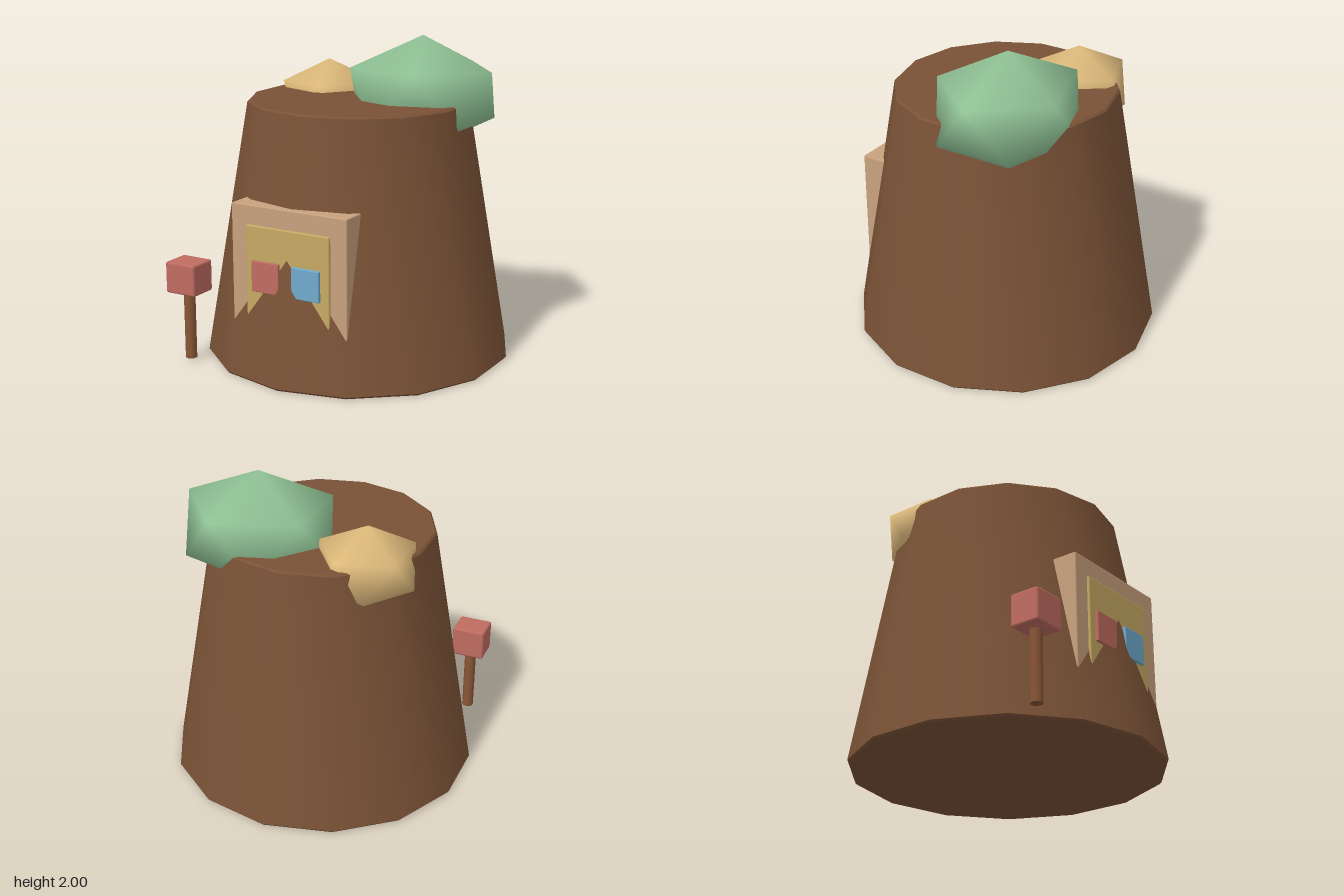
import * as THREE from 'three';
import { mergeVertices, toCreasedNormals } from 'three/addons/utils/BufferGeometryUtils.js';
import { RoundedBoxGeometry } from 'three/addons/geometries/RoundedBoxGeometry.js';

const mat = (name, color) => {
  const m = new THREE.MeshStandardMaterial({ color });
  m.name = name;
  return m;
};

export function createModel() {
  const group = new THREE.Group();
  const bark = mat('bark brown', 0x7a5236);
  const post = mat('post brown', 0x8a5638);
  const leaf = mat('leaf green', 0x90c295);
  const straw = mat('straw tan', 0xdfbb7c);
  const timber = mat('pale timber', 0xc9a27e);
  const door = mat('door yellow', 0xc6aa64);
  const red = mat('soft red', 0xc06c61);
  const blue = mat('sky blue', 0x70abce);

  const add = (name, geometry, material, x = 0, y = 0, z = 0) => {
    const mesh = new THREE.Mesh(geometry, material);
    mesh.name = name;
    mesh.position.set(x, y, z);
    group.add(mesh);
    return mesh;
  };

  // Box given by its extents, with a narrow bevel
  const block = (name, material, [x0, x1], [y0, y1], [z0, z1], bevel = 0.008) =>
    add(name, new RoundedBoxGeometry(x1 - x0, y1 - y0, z1 - z0, 1, bevel), material,
      (x0 + x1) / 2, (y0 + y1) / 2, (z0 + z1) / 2);

  // Tapered 14-sided stump with bevelled rims
  const profile = [[0, 0], [0.958, 0], [0.968, 0.012], [0.695, 1.603], [0.683, 1.615], [0, 1.615]]
    .map(([r, y]) => new THREE.Vector2(r, y));
  add('stump', toCreasedNormals(new THREE.LatheGeometry(profile, 14), 0.6), bark);

  // Smooth-shaded icosahedron with one corner straight up
  const bush = (name, material, [x, y, z], [rx, ry, rz]) => {
    let geo = new THREE.IcosahedronGeometry(1, 0);
    geo.deleteAttribute('normal');
    geo.deleteAttribute('uv');
    geo.rotateZ(-Math.atan(2 / (1 + Math.sqrt(5))));
    geo.scale(rx, ry, rz);
    geo = mergeVertices(geo, 1e-3);
    geo.computeVertexNormals();
    add(name, geo, material, x, y, z);
  };
  bush('largeBush', leaf, [0.33, 1.638, -0.22], [0.525, 0.362, 0.47]);
  bush('smallBush', straw, [-0.39, 1.542, -0.285], [0.335, 0.253, 0.335]);

  // Doorway set into the sloping wall
  block('doorFrame', timber, [-0.4, 0.4], [0.2, 1.07], [0.58, 0.822]);
  block('doorPanel', door, [-0.29, 0.29], [0.3, 0.95], [0.7, 0.838]);
  block('redPane', red, [-0.24, -0.05], [0.55, 0.74], [0.76, 0.858], 0.005);
  block('bluePane', blue, [0.04, 0.23], [0.55, 0.74], [0.76, 0.858], 0.005);

  // Letter box on a post
  block('letterBox', red, [-0.858, -0.642], [0.45, 0.65], [0.705, 0.895], 0.014);
  add('letterBoxPost', new THREE.CylinderGeometry(0.037, 0.037, 0.45, 10), post, -0.75, 0.245, 0.8);

  return group;
}
